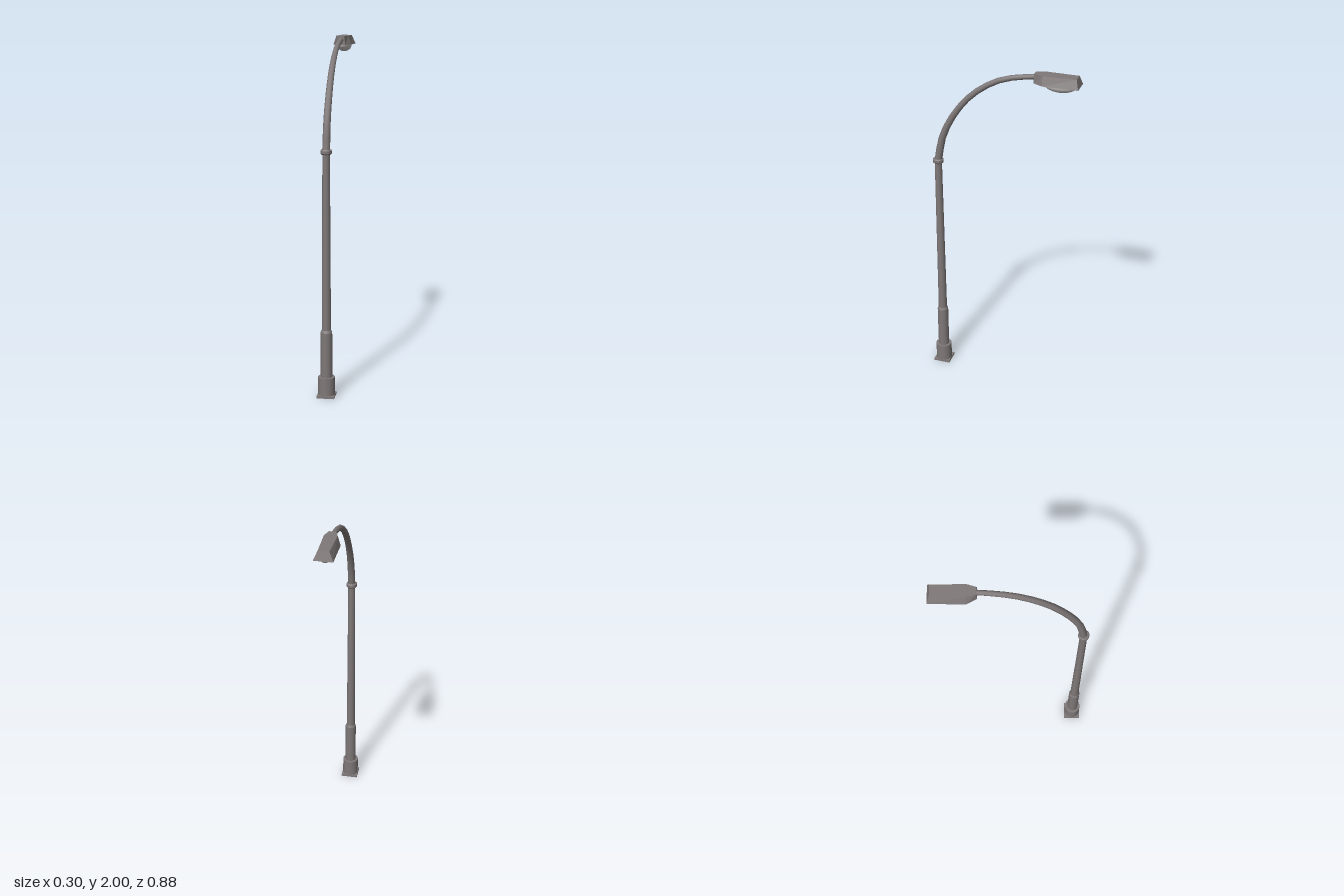
import * as THREE from 'three';

const metal = new THREE.MeshStandardMaterial({ color: 0x7f7878 });
metal.name = 'warm grey metal';
const glass = new THREE.MeshStandardMaterial({ color: 0xc4c2c0 });
glass.name = 'pale lens';

export function createModel() {
  const model = new THREE.Group();
  model.name = 'streetLamp';

  // Everything is built around the pole axis with the arm reaching along -z
  const lamp = new THREE.Group();
  lamp.name = 'lamp';
  lamp.position.set(-0.093, 0, 0.376);
  lamp.rotation.y = THREE.MathUtils.degToRad(-13.4);
  model.add(lamp);

  const add = (name, geometry, material = metal) => {
    const mesh = new THREE.Mesh(geometry, material);
    mesh.name = name;
    lamp.add(mesh);
    return mesh;
  };
  const column = (name, bottom, top, y0, y1, sides) =>
    add(name, new THREE.CylinderGeometry(top, bottom, y1 - y0, sides).translate(0, (y0 + y1) / 2, 0));

  // Foot and pole
  add('basePlate', new THREE.BoxGeometry(0.1, 0.012, 0.1).translate(0, 0.006, 0));
  column('baseSocket', 0.048, 0.048, 0.012, 0.115, 24);
  column('lowerPole', 0.033, 0.033, 0.115, 0.375, 12);
  column('lowerPoleShoulder', 0.033, 0.025, 0.375, 0.392, 12);
  column('upperPole', 0.026, 0.021, 0.375, 1.39, 12);

  // Collar with bevelled rims
  column('collarLowerBevel', 0.027, 0.032, 1.38, 1.386, 10);
  column('collar', 0.032, 0.032, 1.386, 1.402, 10);
  column('collarUpperBevel', 0.032, 0.027, 1.402, 1.408, 10);

  // Curved arm, tapering toward the lamp head
  const path = new THREE.CatmullRomCurve3([
    [0, 1.39], [0.027, 1.535], [0.082, 1.66], [0.175, 1.79],
    [0.273, 1.876], [0.386, 1.938], [0.49, 1.965], [0.59, 1.98],
  ].map(([reach, y]) => new THREE.Vector3(0, y, -reach)));
  const segments = 12, sides = 10;
  const arm = new THREE.TubeGeometry(path, segments, 1, sides);
  const pos = arm.attributes.position;
  const v = new THREE.Vector3();
  for (let i = 0; i < pos.count; i++) {
    const t = Math.floor(i / (sides + 1)) / segments;
    const centre = path.getPointAt(t);
    v.fromBufferAttribute(pos, i).sub(centre).multiplyScalar(0.022 - 0.008 * t).add(centre);
    pos.setXYZ(i, v.x, v.y, v.z);
  }
  add('arm', arm);

  // Lamp housing: six-sided outline, wider below than above
  const ring = (half, y) => [...half, ...half.map(([x, z]) => [-x, z]).reverse()].map(([x, z]) => [x, y, z]);
  const lower = ring([[0.024, -0.572], [0.053, -0.625], [0.053, -0.826]], 1.948);
  const upper = ring([[0.02, -0.572], [0.036, -0.625], [0.031, -0.811]], 2.0);
  const corners = [];
  const n = lower.length;
  for (let i = 0; i < n; i++) {
    const j = (i + 1) % n;
    corners.push(lower[i], lower[j], upper[j], lower[i], upper[j], upper[i]);
    if (i > 0 && i < n - 1) {
      corners.push(upper[0], upper[i], upper[j], lower[0], lower[j], lower[i]);
    }
  }
  const housing = new THREE.BufferGeometry();
  housing.setAttribute('position', new THREE.Float32BufferAttribute(corners.flat(), 3));
  housing.computeVertexNormals();
  add('lampHousing', housing);

  // Bulging lens under the housing
  const lens = new THREE.SphereGeometry(1, 24, 8, 0, Math.PI * 2, Math.PI / 2, Math.PI / 2);
  lens.scale(0.043, 0.042, 0.093).translate(0, 1.948, -0.715);
  add('lens', lens, glass);

  return model;
}
